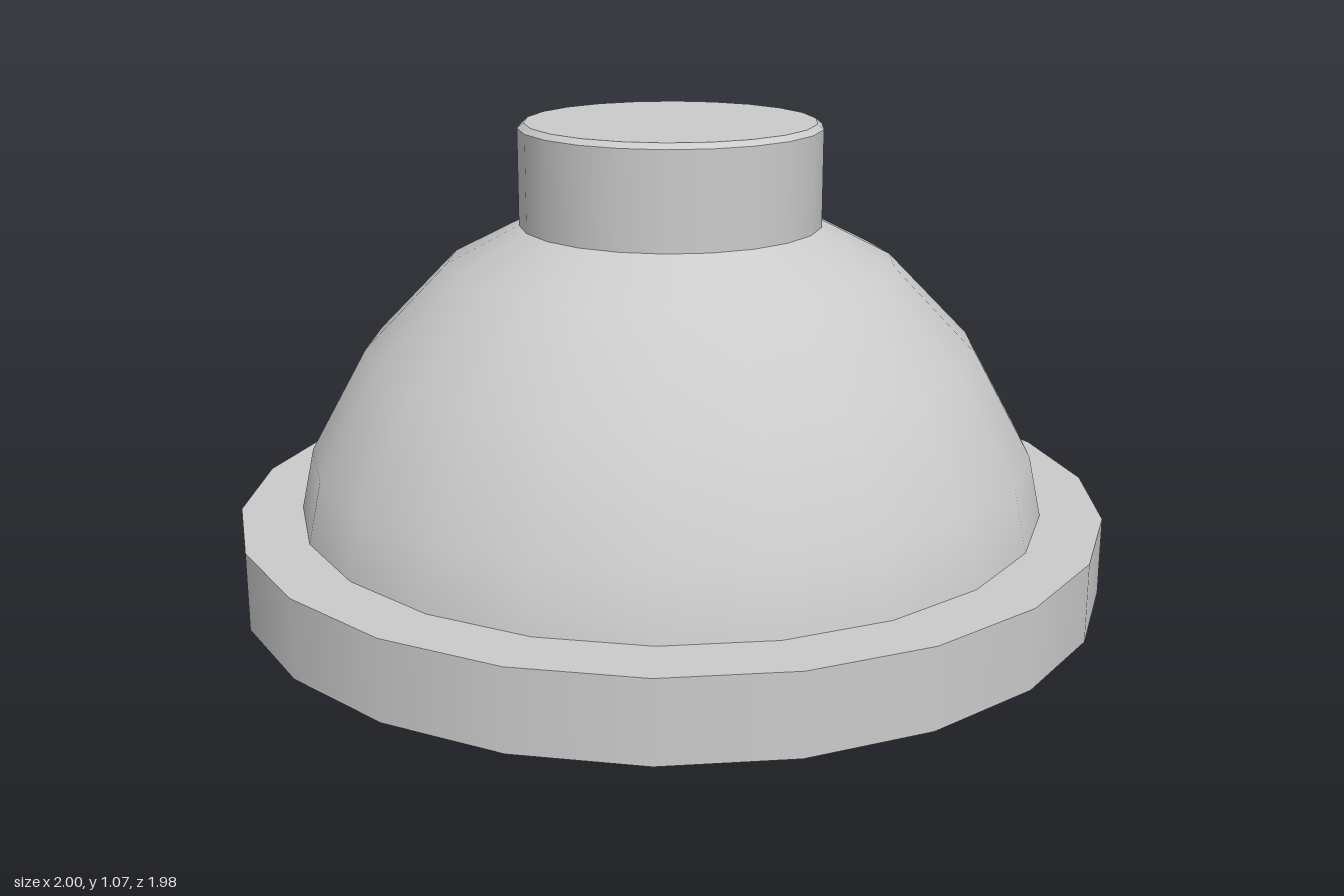
import * as THREE from 'three';

const SIDES = 22;
const material = new THREE.MeshStandardMaterial({ color: 0xcccccc, side: THREE.DoubleSide });

// One smooth surface of revolution; separate bands keep the edges between them sharp
function band(name, points) {
  const profile = points.map(([r, y]) => new THREE.Vector2(r, y));
  const geometry = new THREE.LatheGeometry(profile, SIDES, Math.PI / 2);
  geometry.normalizeNormals();
  const mesh = new THREE.Mesh(geometry, material);
  mesh.name = name;
  return mesh;
}

function part(name, ...bands) {
  const group = new THREE.Group();
  group.name = name;
  group.add(...bands);
  return group;
}

export function createModel() {
  const model = new THREE.Group();
  model.name = 'flangedDome';

  // Thin stepped rim, open underneath
  model.add(part('flange',
    band('flangeRim', [[1, 0], [1, 0.18]]),
    band('flangeTop', [[1, 0.18], [0.86, 0.18]])
  ));

  // Single-walled dome rising from the rim to the neck
  model.add(band('dome', [[0.86, 0.18], [0.83, 0.32], [0.7, 0.555], [0.51, 0.75], [0.345, 0.835]]));

  // Short hollow neck with a chamfered, closed top
  model.add(part('neck',
    band('neckWall', [[0.345, 0.835], [0.345, 1.055]]),
    band('neckChamfer', [[0.345, 1.055], [0.331, 1.067]]),
    band('neckTop', [[0.331, 1.067], [0, 1.067]])
  ));

  return model;
}
